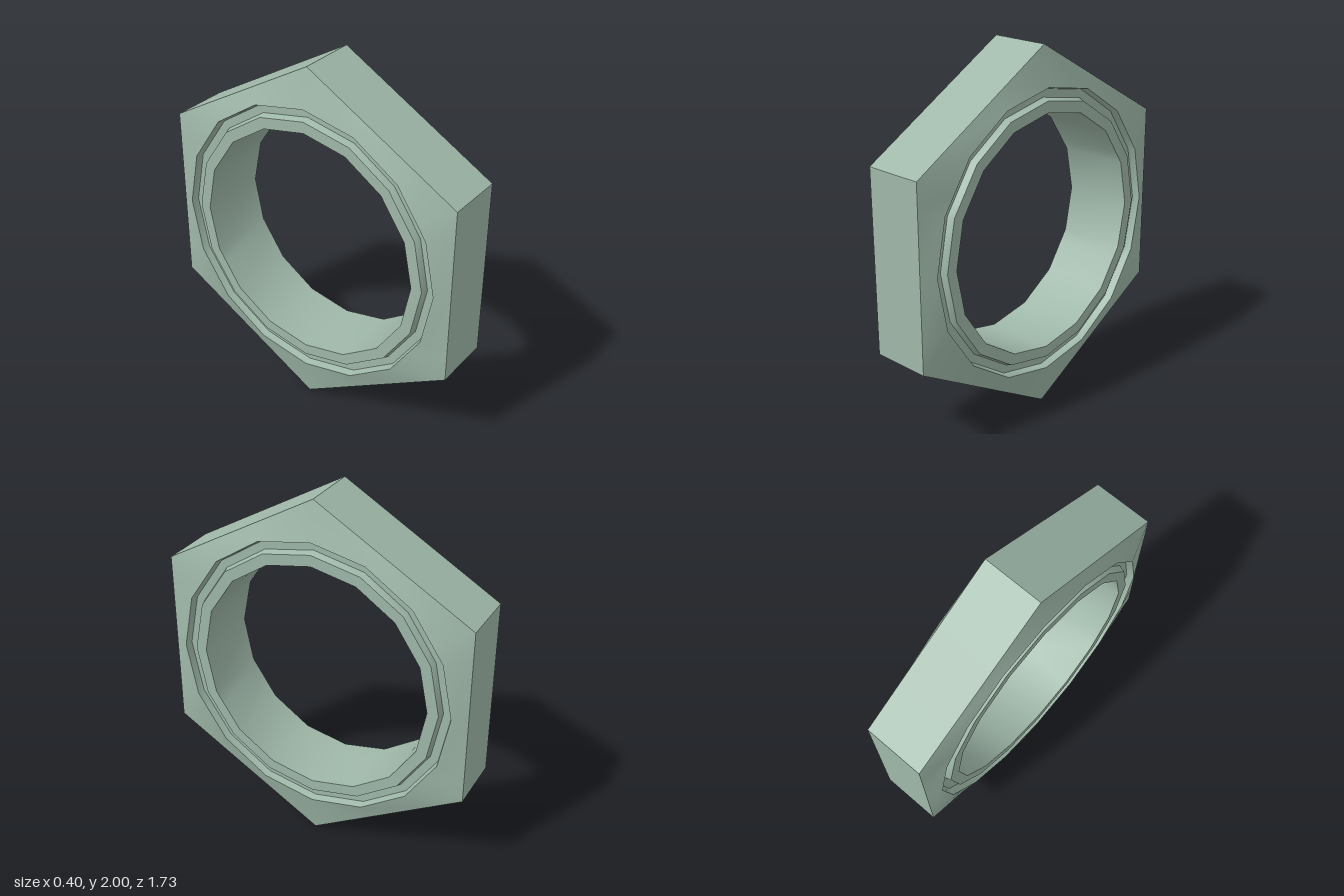
import * as THREE from 'three';
import { toCreasedNormals } from 'three/addons/utils/BufferGeometryUtils.js';

// Radius of a regular polygon (corner at angle 0) in direction a
function polygonRadius(sides, radius, a) {
  const step = (2 * Math.PI) / sides;
  const k = Math.floor(a / step + 1e-6);
  return radius * Math.cos(step / 2) / Math.cos(a - k * step - step / 2);
}

export function createModel() {
  const group = new THREE.Group();
  group.name = 'hexNut';

  // Directions holding every corner of the hexagon and of the 16-sided bore
  const degrees = new Set();
  for (let i = 0; i < 6; i++) degrees.add(i * 60);
  for (let i = 0; i < 16; i++) degrees.add(i * 22.5);
  const angles = [...degrees].sort((a, b) => a - b).map(THREE.MathUtils.degToRad);

  // Half of the section, from the outer hexagon inwards: [x, radius, sides]
  const half = [
    [0.165, 1, 6],       // edge of the flats
    [0.2, 0.786, 16],    // end of the sloped face
    [0.16, 0.775, 16],   // groove floor, outer
    [0.16, 0.73, 16],    // groove floor, inner
    [0.197, 0.718, 16],  // lip round the bore
    [0.197, 0.656, 16],  // bore edge
  ];
  const mirrored = half.map(([x, r, n]) => [-x, r, n]).reverse();
  const rings = [...half, ...mirrored];

  // Join the closed run of rings
  const positions = [];
  for (const [x, r, n] of rings) {
    for (const a of angles) {
      const d = polygonRadius(n, r, a);
      positions.push(x, 1 + d * Math.cos(a), d * Math.sin(a));
    }
  }
  const count = angles.length;
  const index = [];
  for (let i = 0; i < rings.length; i++) {
    const next = (i + 1) % rings.length;
    for (let j = 0; j < count; j++) {
      const k = (j + 1) % count;
      const a = i * count + j, b = i * count + k;
      const c = next * count + j, d = next * count + k;
      index.push(a, c, b, b, c, d);
    }
  }
  // The run goes from +x inwards, so corner order is set to face outwards
  for (let t = 0; t < index.length; t += 3) {
    [index[t + 1], index[t + 2]] = [index[t + 2], index[t + 1]];
  }

  const geometry = new THREE.BufferGeometry();
  geometry.setAttribute('position', new THREE.Float32BufferAttribute(positions, 3));
  geometry.setIndex(index);

  const nut = new THREE.Mesh(
    toCreasedNormals(geometry, THREE.MathUtils.degToRad(35)),
    new THREE.MeshStandardMaterial({ color: 0x9fb8a9 })
  );
  nut.name = 'nutBody';
  group.add(nut);
  return group;
}
